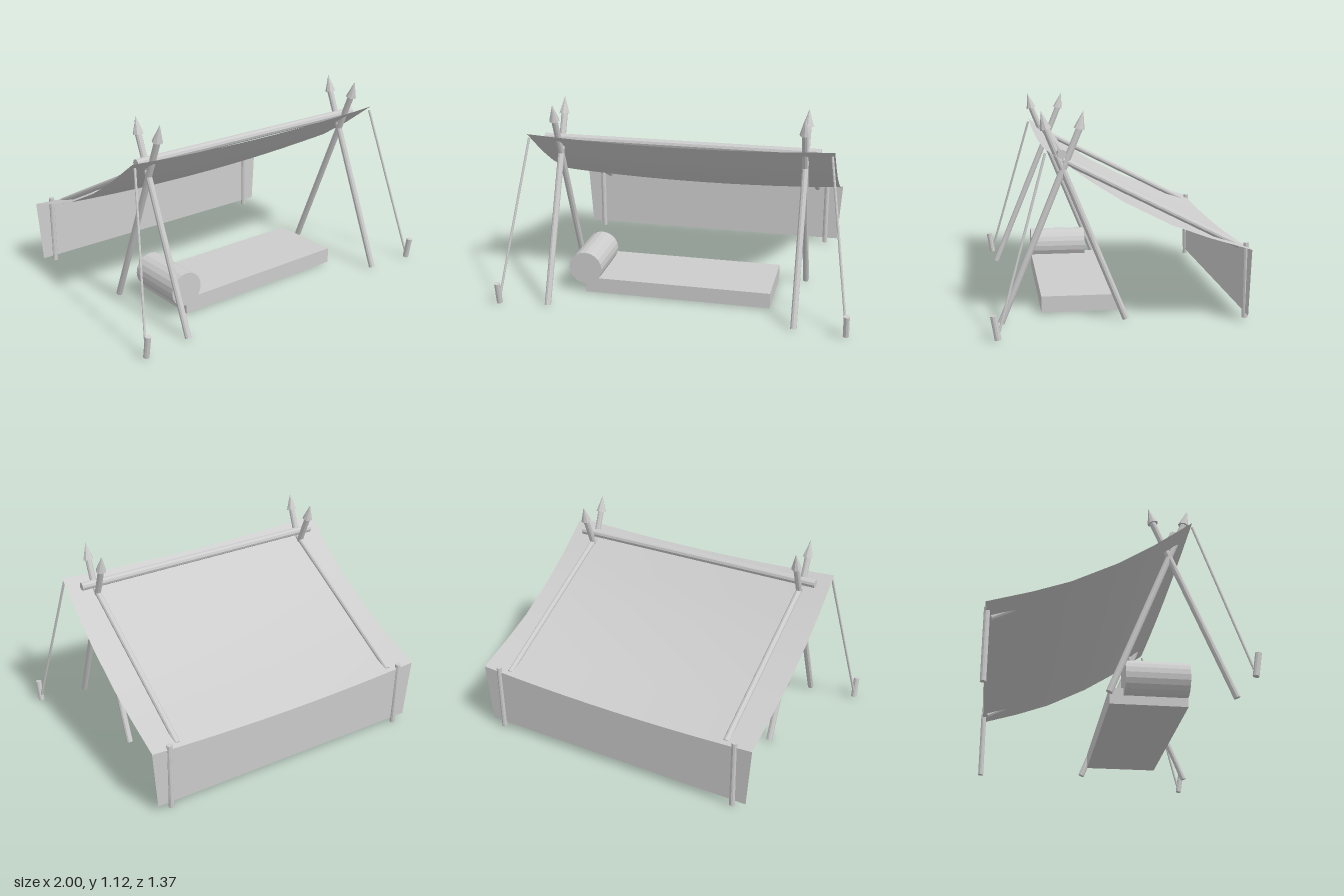
import * as THREE from 'three';

const V = (x, y, z) => new THREE.Vector3(x, y, z);

export function createModel() {
  const group = new THREE.Group();
  const grey = new THREE.MeshStandardMaterial({ color: 0xcccccc });
  grey.name = 'light grey';
  grey.flatShading = true;
  const cloth = grey.clone();
  cloth.name = 'light grey cloth';
  cloth.side = THREE.DoubleSide;
  cloth.flatShading = false;

  function add(name, geometry, material = grey) {
    const mesh = new THREE.Mesh(geometry, material);
    mesh.name = name;
    group.add(mesh);
    return mesh;
  }

  // Straight round bar between two points; topRadius 0 gives a spike
  function rod(name, a, b, radius, topRadius = radius, sides = 10) {
    const dir = b.clone().sub(a);
    const mesh = add(name, new THREE.CylinderGeometry(topRadius, radius, dir.length(), sides));
    mesh.position.copy(a).add(b).multiplyScalar(0.5);
    mesh.quaternion.setFromUnitVectors(V(0, 1, 0), dir.normalize());
  }

  for (const s of [-1, 1]) {
    const x = 0.7 * s;
    // Crossed poles with pointed tips
    rod('frontLeg', V(x, 0.01, 0.627), V(x, 1.035, 0.208), 0.018);
    rod('frontLegSpike', V(x, 1.03, 0.211), V(x, 1.125, 0.188), 0.03, 0, 8);
    rod('backLeg', V(x, 0.01, -0.036), V(x, 1.035, 0.385), 0.018);
    rod('backLegSpike', V(x, 1.03, 0.383), V(x, 1.125, 0.408), 0.03, 0, 8);
    // Sloping rafter and rear post
    rod('rafter', V(x, 0.872, 0.3), V(x, 0.393, -0.648), 0.017);
    rod('rearPost', V(0.76 * s, 0.01, -0.672), V(0.76 * s, 0.42, -0.672), 0.016);
    // Guy rope and its peg
    rod('guyRope', V(0.85 * s, 0.925, 0.397), V(0.98 * s, 0.05, 0.642), 0.007, 0.007, 8);
    rod('tentPeg', V(0.982 * s, 0.01, 0.649), V(0.982 * s, 0.135, 0.67), 0.017);
  }

  // Ridge beam resting in the crossed poles
  rod('ridgeBeam', V(-0.785, 0.91, 0.307), V(0.785, 0.91, 0.307), 0.024);

  // Roof and rear wall: cloth sagging along the slope and in the middle
  const sag = (t) => -0.028 * (1 - t * t);
  function sheet(name, columns, rows, place) {
    const geo = new THREE.PlaneGeometry(2, 1, columns, rows);
    const pos = geo.attributes.position;
    for (let i = 0; i < pos.count; i++) {
      const p = place(pos.getX(i), Math.round((0.5 - pos.getY(i)) * rows));
      pos.setXYZ(i, p.x, p.y, p.z);
    }
    geo.computeVertexNormals();
    add(name, geo, cloth);
  }
  const slope = [
    [-0.68, 0.402], [-0.45, 0.472], [-0.25, 0.545],
    [0, 0.672], [0.18, 0.787], [0.395, 0.945],
  ];
  sheet('roofCloth', 12, 5, (t, row) => V(0.863 * t, slope[row][1] + sag(t), slope[row][0]));
  sheet('rearWallCloth', 12, 1, (t, row) =>
    row === 0 ? V(0.863 * t, 0.402 + sag(t), -0.676) : V(0.838 * t, 0.04, -0.67));

  // Mattress and bolster
  add('mattress', new THREE.BoxGeometry(1.085, 0.09, 0.42)).position.set(-0.002, 0.055, 0.195);
  rod('bolster', V(-0.543, 0.157, 0.06), V(-0.543, 0.157, 0.405), 0.097, 0.097, 20);

  return group;
}
